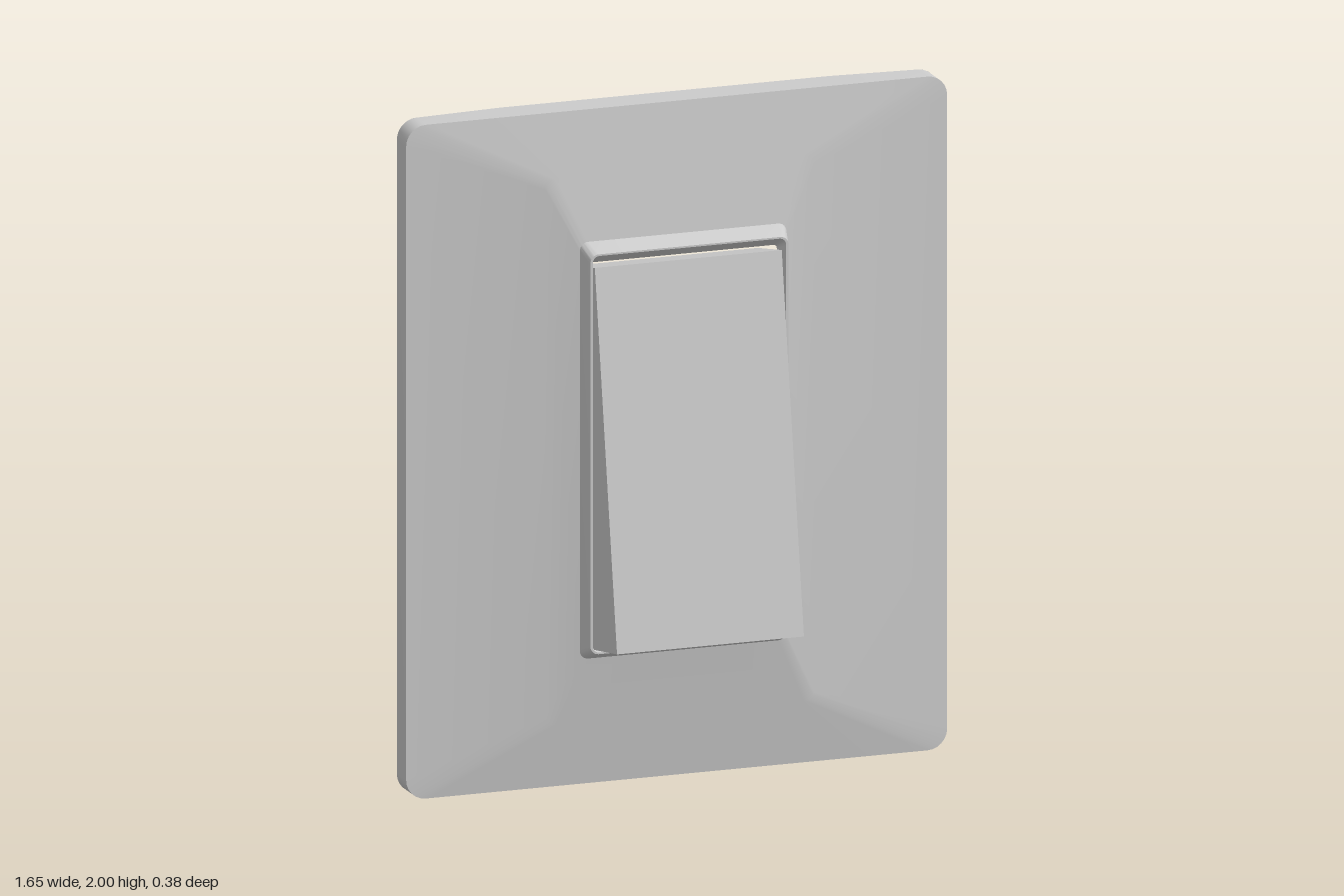
import * as THREE from 'three';
import { toCreasedNormals } from 'three/addons/utils/BufferGeometryUtils.js';

const HALF_W = 0.825, PANEL_X = 0.5, CORNER = 0.06;
const material = new THREE.MeshStandardMaterial({ color: 0xcccccc, side: THREE.DoubleSide });

// The rear edge is flat in the middle and tapers forward towards both sides
const backZ = (x) => -0.195 + 0.025 * Math.max(0, (Math.abs(x) - PANEL_X) / (HALF_W - PANEL_X));

// Rounded rectangle, counter-clockwise from the front; z is a number or a rule of x
function ring(hw, y0, y1, r, z) {
  const pts = [];
  const add = (x, y) => pts.push([x, y, typeof z === 'function' ? z(x) : z]);
  const arc = (cx, cy, quarter) => {
    for (let i = 0; i <= 6; i++) {
      const a = (quarter + i / 6) * Math.PI / 2;
      add(cx + r * Math.cos(a), cy + r * Math.sin(a));
    }
  };
  const inset = hw * PANEL_X / HALF_W;
  arc(hw - r, y1 - r, 0);
  add(inset, y1);
  add(-inset, y1);
  arc(-hw + r, y1 - r, 1);
  arc(-hw + r, y0 + r, 2);
  add(-inset, y0);
  add(inset, y0);
  arc(hw - r, y0 + r, 3);
  return pts;
}

// Skin between successive cross-sections with equal point counts
function loft(sections, closed) {
  const n = sections[0].length, index = [];
  for (let s = 0; s < sections.length - 1; s++) {
    for (let j = 0; j < (closed ? n : n - 1); j++) {
      const k = (j + 1) % n;
      const a = s * n + j, b = s * n + k, c = a + n, d = b + n;
      index.push(a, b, d, a, d, c);
    }
  }
  const geo = new THREE.BufferGeometry();
  geo.setAttribute('position', new THREE.Float32BufferAttribute(sections.flat(2), 3));
  geo.setIndex(index);
  return toCreasedNormals(geo, 0.35);
}

function addMesh(parent, name, geo) {
  const mesh = new THREE.Mesh(geo, material);
  mesh.name = name;
  parent.add(mesh);
}

// Thin rear panel covering one quarter of the back, beside the centre gap
function rearPanel(sx, top) {
  const shape = new THREE.Shape();
  shape.moveTo(PANEL_X, 0);
  shape.lineTo(HALF_W - CORNER, 0);
  shape.absarc(HALF_W - CORNER, CORNER, CORNER, -Math.PI / 2, 0, false);
  shape.lineTo(HALF_W, 0.94);
  shape.lineTo(PANEL_X, 0.94);
  const geo = new THREE.ShapeGeometry(shape, 6);
  const p = geo.attributes.position;
  for (let i = 0; i < p.count; i++) {
    const x = p.getX(i), y = p.getY(i);
    p.setXYZ(i, sx * x, top ? 2 - y : y, backZ(x));
  }
  geo.computeVertexNormals();
  return geo;
}

export function createModel() {
  const model = new THREE.Group();
  model.name = 'rockerSwitch';

  // Hollow cover plate: outer wall, dished front, collar, opening, inner skin
  addMesh(model, 'coverPlate', loft([
    ring(HALF_W, 0, 2, CORNER, backZ),
    ring(HALF_W, 0, 2, CORNER, -0.092),
    ring(0.41, 0.19, 1.81, 0.03, -0.066),
    ring(0.315, 0.385, 1.622, 0.025, -0.038),
    ring(0.302, 0.41, 1.597, 0.025, 0.015),
    ring(0.295, 0.415, 1.592, 0.02, 0.015),
    ring(0.288, 0.425, 1.558, 0.01, -0.045),
    ring(0.308, 0.395, 1.612, 0.02, -0.055),
    ring(0.40, 0.2, 1.8, 0.03, -0.08),
    ring(HALF_W - 0.01, 0.01, 1.99, CORNER, -0.104),
    ring(HALF_W - 0.01, 0.01, 1.99, CORNER, backZ),
    ring(HALF_W, 0, 2, CORNER, backZ),
  ], true));

  // Four rear panels
  for (const sx of [1, -1]) {
    for (const top of [false, true]) {
      addMesh(model, `rearPanel${top ? 'Top' : 'Bottom'}${sx > 0 ? 'Left' : 'Right'}`, rearPanel(sx, top));
    }
  }

  // Open-backed rocker: profile as [z, y] from the rear top round to the rear bottom
  const profile = [[-0.195, 1.51], [0.005, 1.555], [0.19, 0.455], [0, 0.42], [-0.195, 0.455]];
  const half = 0.285;
  const rocker = new THREE.Group();
  rocker.name = 'rocker';
  model.add(rocker);
  const section = (x) => profile.map(([z, y]) => [x, y, z]);
  addMesh(rocker, 'rockerFace', loft([section(-half), section(half)], false).toNonIndexed?.() ?? null);
  for (const sx of [1, -1]) {
    const side = new THREE.ShapeGeometry(new THREE.Shape(profile.map(([z, y]) => new THREE.Vector2(-z, y))));
    side.rotateY(Math.PI / 2);
    if (sx < 0) side.index.array.reverse();
    side.computeVertexNormals();
    side.translate(sx * half, 0, 0);
    addMesh(rocker, sx > 0 ? 'rockerSideLeft' : 'rockerSideRight', side);
  }
  return model;
}
